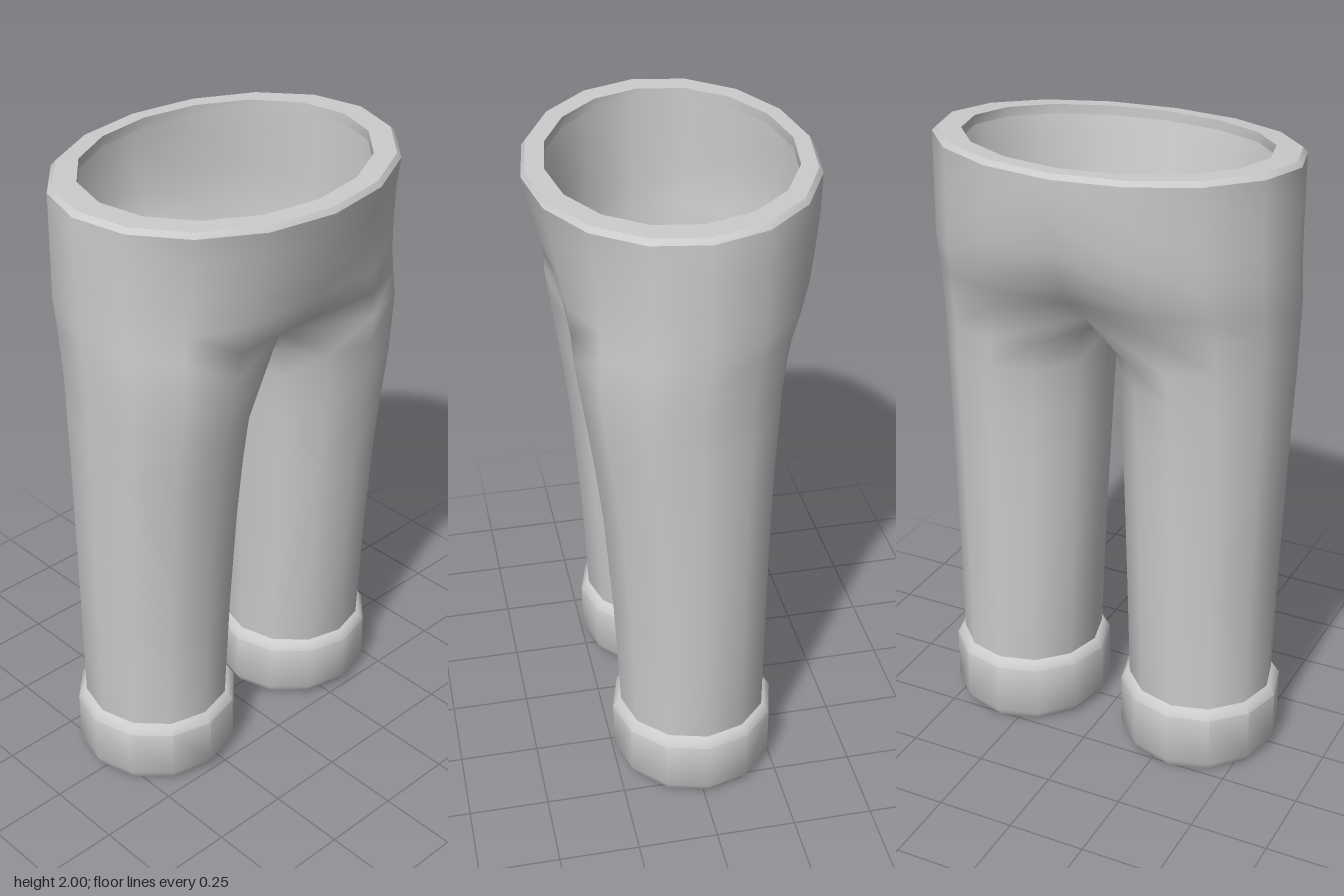
import * as THREE from 'three';
import { mergeVertices, toCreasedNormals } from 'three/addons/utils/BufferGeometryUtils.js';

const N = 12; // points round one leg; points 0..8 also form half of the waist
const lerp = THREE.MathUtils.lerp;
const material = new THREE.MeshStandardMaterial({ color: 0xcccccc, side: THREE.DoubleSide });

// Joins rings of points, listed from top to bottom, into triangles.
function loft(rings, isOpen = () => false) {
  const out = [];
  for (let r = 0; r < rings.length - 1; r++) {
    const A = rings[r], B = rings[r + 1];
    const count = isOpen(r) ? 8 : A.length;
    for (let i = 0; i < count; i++) {
      const j = (i + 1) % A.length;
      out.push(A[i], B[i], A[j], A[j], B[i], B[j]);
    }
  }
  return out;
}

// Mirrors triangles across x = 0, keeping them facing outward.
function mirrored(tris) {
  const out = [];
  for (let i = 0; i < tris.length; i += 3) {
    for (const k of [0, 2, 1]) {
      const [x, y, z] = tris[i + k];
      out.push([-x, y, z]);
    }
  }
  return out;
}

function toGeometry(points) {
  const g = new THREE.BufferGeometry();
  g.setAttribute('position', new THREE.Float32BufferAttribute(points.flat(), 3));
  return g;
}

function addMesh(group, geometry, name) {
  const mesh = new THREE.Mesh(geometry, material);
  mesh.name = name;
  group.add(mesh);
}

// The waistline dips a little towards the front.
const waistDip = (z) => 0.035 * ((z + 0.43) / 0.86) ** 2;

// Levels: y, outer x, inner x, front z, back z, blend from waist oval to leg
const levels = [
  [1.985, 0.575, 0.03, 0.428, -0.43, 0],
  [1.87, 0.577, 0.03, 0.41, -0.427, 0],
  [1.76, 0.578, 0.03, 0.39, -0.41, 0.1],
  [1.66, 0.578, 0.03, 0.368, -0.385, 0.3],
  [1.58, 0.577, 0.03, 0.352, -0.335, 0.55],
  [1.5, 0.575, 0.03, 0.342, -0.304, 0.78],
  [1.4, 0.572, 0.02, 0.325, -0.285, 0.92],
  [1.3, 0.569, 0.038, 0.309, -0.275, 1],
  [1.15, 0.566, 0.046, 0.288, -0.265, 1],
  [0.95, 0.562, 0.052, 0.265, -0.258, 1],
  [0.6, 0.554, 0.066, 0.24, -0.252, 1],
  [0.2, 0.547, 0.08, 0.222, -0.248, 1],
];
const SADDLE = 5; // the level where the two legs part

function legRing([y, xo, xi, zf, zb, u], level) {
  const ring = [];
  for (let i = 0; i < N; i++) {
    const a = (4 - i) * Math.PI / 6;
    const b = (4 - i) * Math.PI / 8;
    const lx = (xo + xi) / 2 + (xo - xi) / 2 * Math.cos(a);
    const lz = (zf + zb) / 2 + (zf - zb) / 2 * Math.sin(a);
    const bz = Math.sin(b) * (i < 4 ? zf : -zb);
    let x = lerp(xo * Math.cos(b), lx, u), z = lerp(bz, lz, u), h = y;
    if (level <= SADDLE && i % 8 === 0) x = 0;
    if (i > 8) { x = lx; z = lz; }
    if (level === SADDLE) {
      // crotch curve between the legs
      if (i === 0) z = 0.22;
      if (i === 8) z = -0.22;
      if (i > 8) { x = 0; z = (i - 10) * 0.11; h = i === 10 ? 1.42 : 1.44; }
    }
    if (level === 0) h -= waistDip(z);
    ring.push([x, h, z]);
  }
  return ring;
}

// Flat waist rim with a small bevel on its outer edge
function waistRing([rx, zf, zb, y]) {
  return Array.from({ length: 16 }, (_, i) => {
    const b = (4 - i) * Math.PI / 8;
    const z = Math.sin(b) * (Math.sin(b) > 0 ? zf : zb);
    return [rx * Math.cos(b), y - waistDip(z), z];
  });
}

function cuffRing([r, y, tilt]) {
  return Array.from({ length: N }, (_, i) => {
    const a = (4 - i) * Math.PI / 6;
    const z = -0.012 + r * Math.sin(a);
    return [0.313 + r * Math.cos(a), y + tilt * (z + 0.27), z];
  });
}

export function createModel() {
  const group = new THREE.Group();
  group.name = 'trousers';

  // Seat and both legs as one smooth cloth surface
  const half = loft(levels.map(legRing), (r) => r < SADDLE);
  const cloth = mergeVertices(toGeometry([...half, ...mirrored(half)]), 1e-4);
  cloth.computeVertexNormals();
  addMesh(group, cloth, 'seatAndLegs');

  // Waist rim
  const rim = loft([
    [0.48, 0.36, 0.37, 1.97],
    [0.48, 0.36, 0.37, 2],
    [0.56, 0.417, 0.418, 2],
    [0.575, 0.428, 0.43, 1.985],
  ].map(waistRing));
  addMesh(group, toCreasedNormals(toGeometry(rim), 0.6), 'waistRim');

  // Turned-up cuffs, closed in to a narrower opening underneath
  const cuff = loft([
    [0.232, 0.23, 0],
    [0.245, 0.225, 0],
    [0.262, 0.2, 0],
    [0.262, 0.03, 0.03],
    [0.245, 0, 0.03],
    [0.167, 0, 0.03],
    [0.167, 0.03, 0.03],
  ].map(cuffRing));
  addMesh(group, toCreasedNormals(toGeometry(cuff), 0.75), 'leftCuff');
  addMesh(group, toCreasedNormals(toGeometry(mirrored(cuff)), 0.75), 'rightCuff');

  return group;
}
